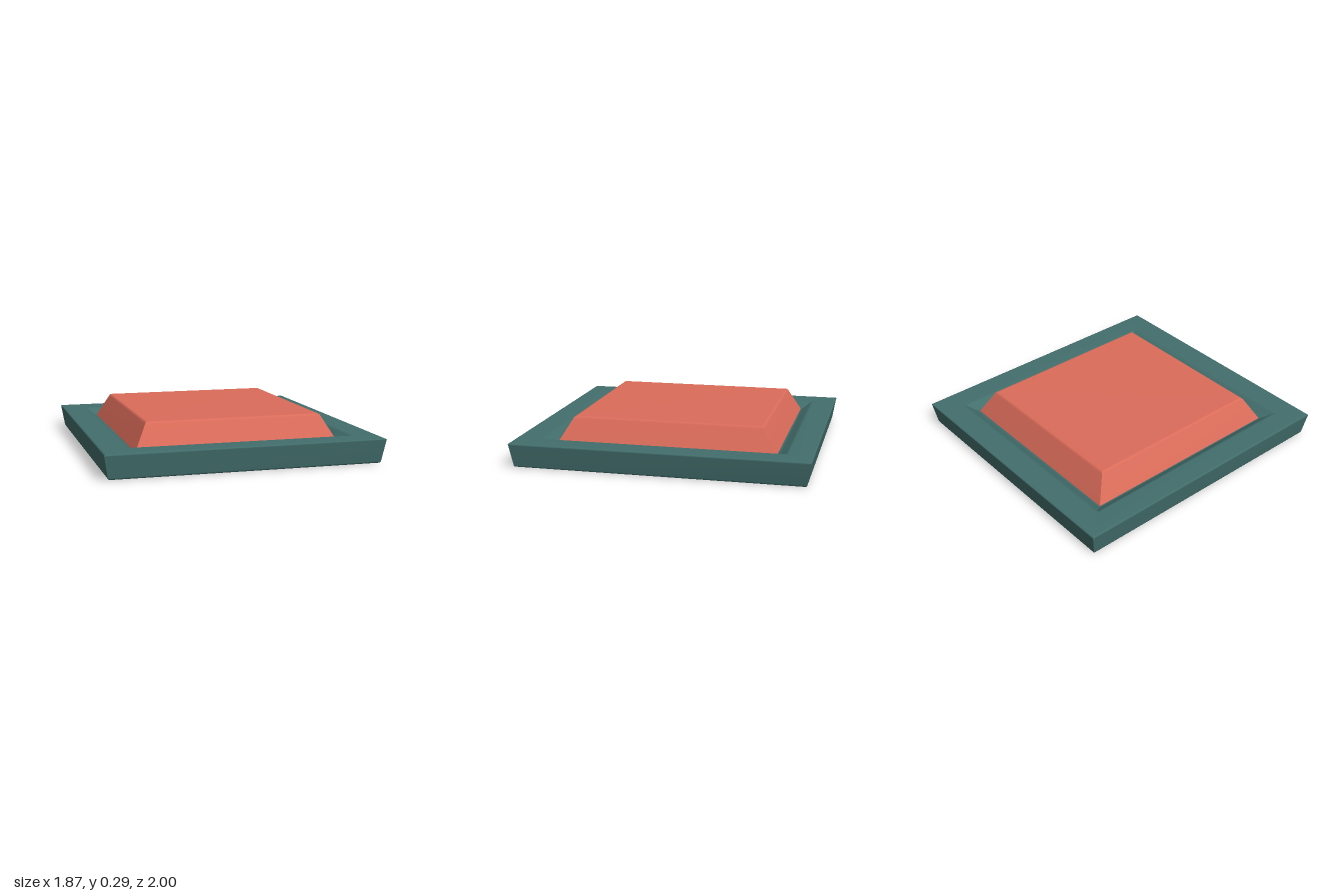
import * as THREE from 'three';

const tealMaterial = new THREE.MeshStandardMaterial({ name: 'teal base', color: 0x426e6c });
const coralMaterial = new THREE.MeshStandardMaterial({ name: 'coral pad', color: 0xdb6c5a });

// Sweeps a profile of [halfWidth, halfDepth, y] around four sides:
// smooth along the profile, mitred sharply at the corners.
function rectangularLoft(profile) {
  const corners = [[-1, 1], [1, 1], [1, -1], [-1, -1]];
  const positions = [];
  const indices = [];
  for (let side = 0; side < 4; side++) {
    const start = positions.length / 3;
    for (const [hx, hz, y] of profile) {
      for (const [sx, sz] of [corners[side], corners[(side + 1) % 4]]) {
        positions.push(sx * hx, y, sz * hz);
      }
    }
    for (let i = 0; i < profile.length - 1; i++) {
      const a = start + i * 2;
      if (profile[i][0] > 0) indices.push(a, a + 1, a + 3);
      if (profile[i + 1][0] > 0) indices.push(a, a + 3, a + 2);
    }
  }
  const geometry = new THREE.BufferGeometry();
  geometry.setAttribute('position', new THREE.Float32BufferAttribute(positions, 3));
  geometry.setIndex(indices);
  geometry.computeVertexNormals();
  return geometry;
}

function part(name, profile, material) {
  const mesh = new THREE.Mesh(rectangularLoft(profile), material);
  mesh.name = name;
  return mesh;
}

export function createModel() {
  const group = new THREE.Group();
  group.name = 'framedPanel';

  // Tapered tray: underside, flared wall, flat rim, sloping recess and floor
  group.add(part('base', [
    [0, 0, 0],
    [0.895, 0.958, 0],
    [0.905, 0.968, 0.003],
    [0.911, 0.974, 0.014],
    [0.934, 0.997, 0.154],
    [0.935, 1.0, 0.161],
    [0.932, 0.996, 0.166],
    [0.922, 0.986, 0.168],
    [0.775, 0.835, 0.168],
    [0.755, 0.815, 0.162],
    [0.71, 0.765, 0.124],
    [0.69, 0.745, 0.118],
    [0, 0, 0.118],
  ], tealMaterial));

  // Raised pad with bevelled sides and a softened top edge
  group.add(part('raisedPad', [
    [0.692, 0.745, 0.115],
    [0.69, 0.743, 0.122],
    [0.607, 0.655, 0.28],
    [0.602, 0.649, 0.288],
    [0.596, 0.643, 0.293],
    [0.586, 0.633, 0.295],
    [0, 0, 0.295],
  ], coralMaterial));

  return group;
}
